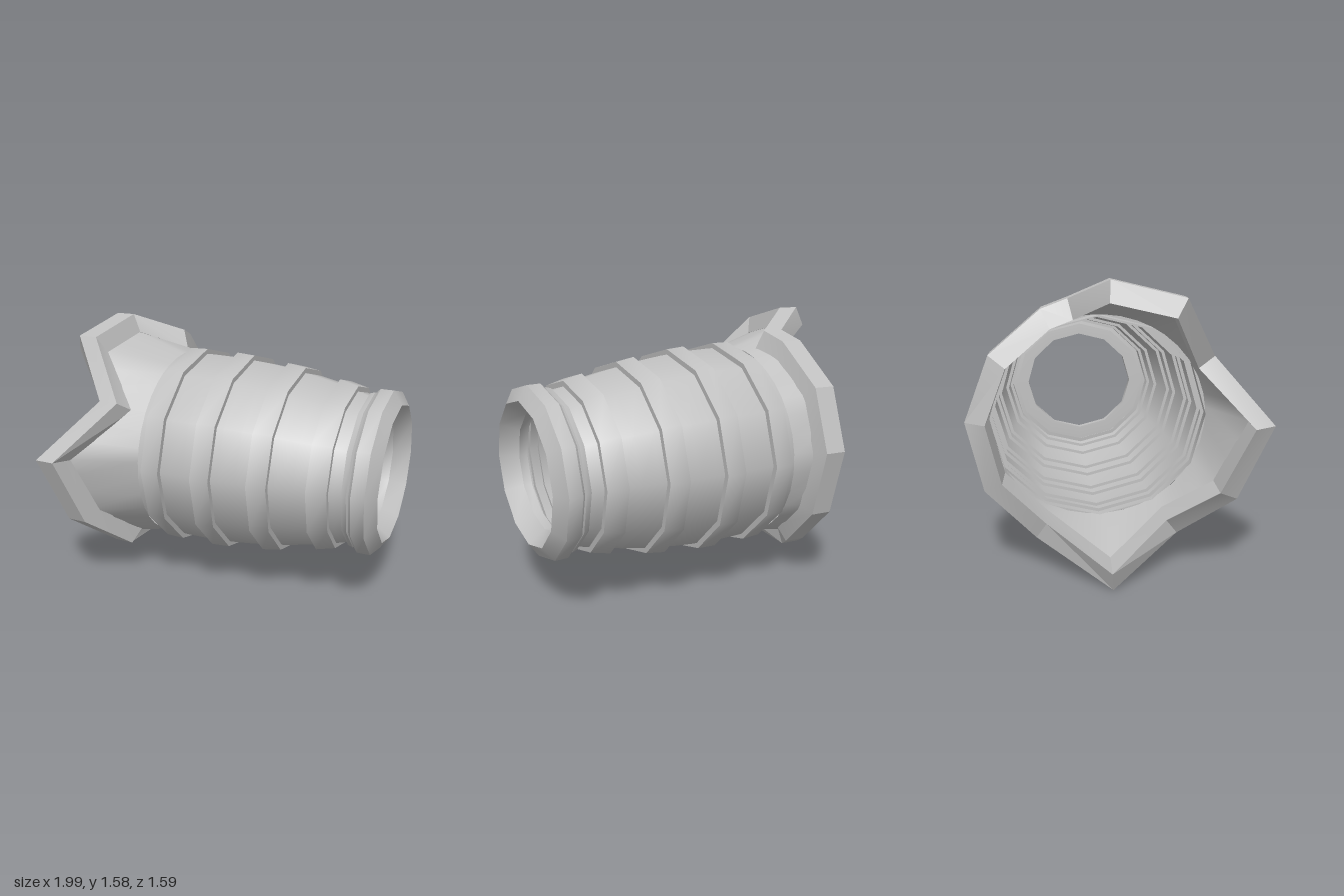
import * as THREE from 'three';
import { toCreasedNormals } from 'three/addons/utils/BufferGeometryUtils.js';

const steel = new THREE.MeshStandardMaterial({ color: 0xc0c0c0, side: THREE.DoubleSide });
steel.name = 'grey';

const SIDES = 12, SQUASH = 0.935;
const AXIS = { y: 0.79, z: -0.112, dy: -0.025, dz: -0.075 };
const bodyRadius = (t) => 0.613 - 0.06 * t - 0.165 * t * t;

function add(parent, name, geometry) {
  const mesh = new THREE.Mesh(geometry, steel);
  mesh.name = name;
  parent.add(mesh);
}

// Turned part along x from [position, radius] pairs
function turned(profile) {
  const g = new THREE.LatheGeometry(profile.map(([t, r]) => new THREE.Vector2(r, t)), SIDES);
  g.rotateZ(-Math.PI / 2);
  return toCreasedNormals(g, 0.6);
}

// Loop of cross-sections joined end to end; ring = section is itself closed
function loft(rows, ring) {
  const n = rows[0].length, index = [];
  rows.forEach((_, i) => {
    const j = (i + 1) % rows.length;
    for (let k = 0; k < (ring ? n : n - 1); k++) {
      const l = (k + 1) % n;
      const a = i * n + k, b = i * n + l, c = j * n + l, d = j * n + k;
      index.push(a, b, c, a, c, d);
    }
  });
  const g = new THREE.BufferGeometry();
  g.setAttribute('position', new THREE.Float32BufferAttribute(rows.flat(2), 3));
  g.setIndex(index);
  g.computeVertexNormals();
  return g;
}

// Outer corners of the zigzag rim: x, y, z
const rimPath = [
  [-0.80, 0.85, 0.80], [-0.53, 1.17, 0.53], [-0.80, 1.50, 0.34], [-0.79, 1.59, -0.04],
  [-0.55, 1.48, -0.25], [-0.59, 1.43, -0.39], [-0.64, 1.20, -0.66], [-0.645, 0.85, -0.79],
  [-0.63, 0.47, -0.70], [-0.64, 0.21, -0.43], [-0.88, 0.01, -0.03], [-0.61, 0.21, 0.33],
  [-0.73, 0.44, 0.63],
];
const RIM_CENTRE = [0.80, -0.08];

// Point moved dx along x and inward towards the rim centre
function inset([x, y, z], dx, depth) {
  const oy = y - RIM_CENTRE[0], oz = z - RIM_CENTRE[1];
  const f = 1 - depth / Math.hypot(oy, oz);
  return [x + dx, RIM_CENTRE[0] + oy * f, RIM_CENTRE[1] + oz * f];
}

export function createModel() {
  const model = new THREE.Group();
  model.name = 'bandedSleeve';

  // Slightly tilted, flattened barrel
  const barrel = new THREE.Group();
  barrel.name = 'barrel';
  barrel.position.set(0, AXIS.y, AXIS.z);
  barrel.rotation.set(0, -AXIS.dz, AXIS.dy);
  barrel.scale.set(1, SQUASH, 1);
  model.add(barrel);

  const wall = [];
  for (let i = 0; i <= 12; i++) {
    const t = -0.42 + (1.26 * i) / 12;
    wall.push([t, bodyRadius(t)]);
  }
  add(barrel, 'barrelWall', turned(wall));

  // Raised bands
  for (const t of [-0.30, 0.01, 0.335, 0.655]) {
    const lo = t - 0.055, hi = t + 0.055;
    const rLo = bodyRadius(lo), rHi = bodyRadius(hi);
    add(barrel, 'band', turned([[lo, rLo - 0.02], [lo, rLo + 0.032], [hi, rHi + 0.032], [hi, rHi - 0.02]]));
  }

  // Narrow collar and thick bevelled lip at the small end
  add(barrel, 'collar', turned([[0.775, 0.44], [0.78, 0.485], [0.81, 0.495], [0.83, 0.46]]));
  add(barrel, 'endLip', turned([
    [0.82, 0.44], [0.825, 0.505], [0.84, 0.52], [0.915, 0.52], [0.968, 0.435], [0.87, 0.36], [0.82, 0.36], [0.82, 0.44],
  ]));

  // Zigzag rim with a trapezoid section
  const rim = loft(rimPath.map((p) => [
    inset(p, -0.06, 0), inset(p, 0.06, 0), inset(p, 0.1, 0.11), inset(p, -0.11, 0.11),
  ]), true);
  add(model, 'zigzagRim', toCreasedNormals(rim, 0.3));

  // Flared skirt joining the barrel to the rim
  const START = -0.39, r = bodyRadius(START);
  const cy = AXIS.y + AXIS.dy * START, cz = AXIS.z + AXIS.dz * START;
  const rows = [];
  rimPath.forEach((p, i) => {
    const q = rimPath[(i + 1) % rimPath.length];
    for (let s = 0; s < 3; s++) {
      const edge = inset(p, 0, 0.08).map((v, k) => v + (inset(q, 0, 0.08)[k] - v) * (s / 3));
      const a = Math.atan2((edge[1] - cy) / SQUASH, edge[2] - cz);
      const oy = SQUASH * r * Math.sin(a), oz = r * Math.cos(a);
      const x = START - AXIS.dy * oy - AXIS.dz * oz;
      rows.push([edge, [x, cy + oy, cz + oz]]);
    }
  });
  add(model, 'flaredSkirt', loft(rows, false));

  return model;
}
